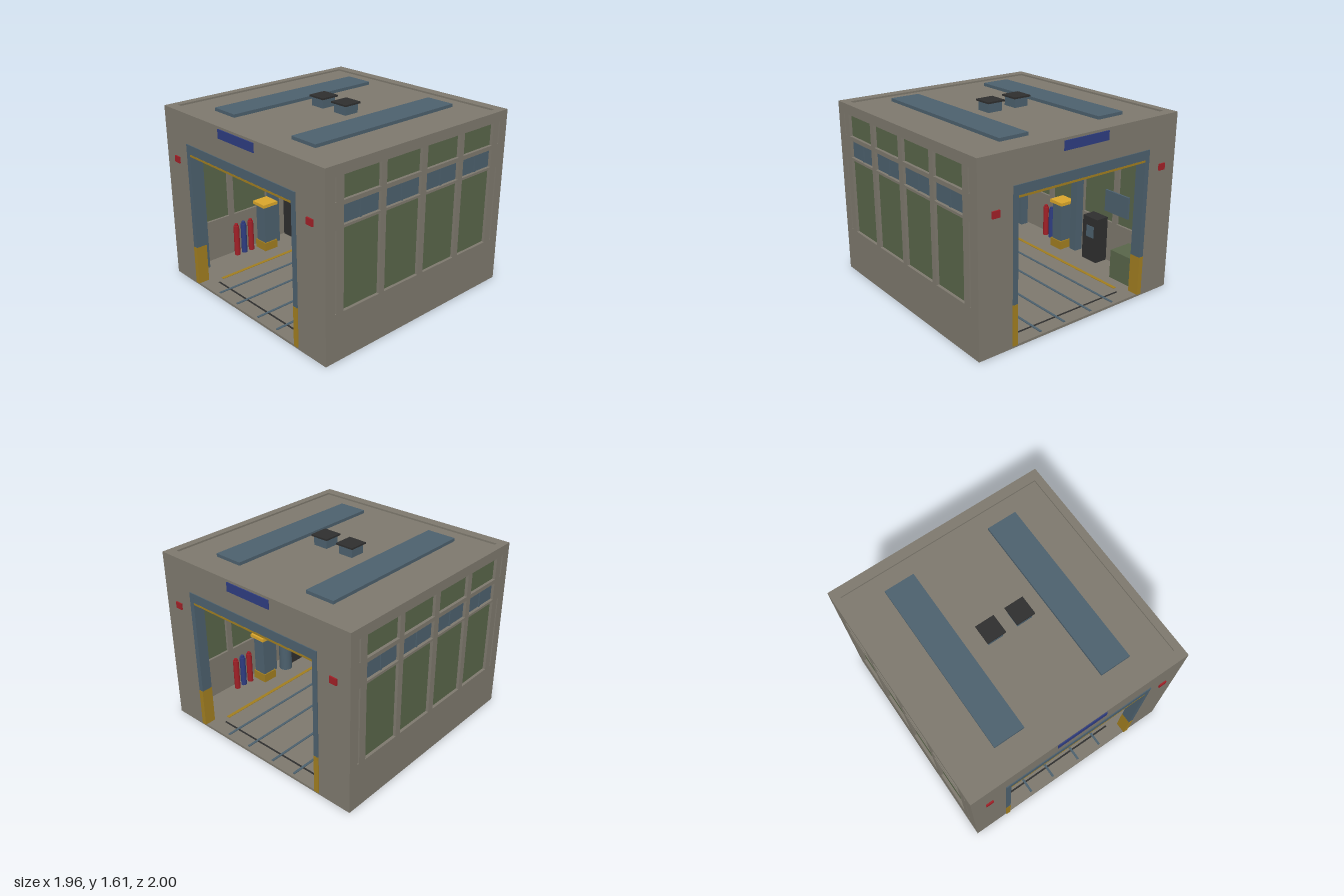
import * as THREE from 'three';

const mat = (name, color) => Object.assign(new THREE.MeshStandardMaterial({ color }), { name });

export function createModel() {
  const M = {
    concrete: mat('concrete', 0x7d786d),
    green: mat('green panel', 0x586549),
    steel: mat('blue steel', 0x4c606d),
    yellow: mat('warning yellow', 0xa07d20),
    bright: mat('machine yellow', 0xd9a52b),
    red: mat('red', 0xa02027),
    navy: mat('navy', 0x2e3c80),
    black: mat('black', 0x2e2e2e),
  };
  const model = new THREE.Group();
  model.name = 'workshopBay';

  const add = (name, geo, m, x, y, z, parent = model) => {
    const mesh = new THREE.Mesh(geo, m);
    mesh.name = name;
    mesh.position.set(x, y, z);
    parent.add(mesh);
    return mesh;
  };
  // box from minimum and maximum corners
  const box = (name, m, x0, x1, y0, y1, z0, z1, parent) =>
    add(name, new THREE.BoxGeometry(x1 - x0, y1 - y0, z1 - z0), m,
      (x0 + x1) / 2, (y0 + y1) / 2, (z0 + z1) / 2, parent);
  const cyl = (name, m, r, h, x, y, z, parent) =>
    add(name, new THREE.CylinderGeometry(r, r, h, 20), m, x, y, z, parent);
  const rect = (P, a0, a1, b0, b1) => {
    const p = new P();
    p.moveTo(a0, b0); p.lineTo(a1, b0); p.lineTo(a1, b1); p.lineTo(a0, b1); p.closePath();
    return p;
  };
  const extrude = (shape, depth) => new THREE.ExtrudeGeometry(shape, { depth, bevelEnabled: false });

  const X = 0.982, Z = 0.988, TOP = 1.535;

  // Floor slab, roof slab and parapet
  box('floorSlab', M.concrete, -X, X, 0, 0.02, -Z, Z);
  box('roofSlab', M.concrete, -0.92, 0.92, 1.47, 1.52, -0.91, 0.91);
  const rim = rect(THREE.Shape, -X, X, -Z, Z);
  rim.holes.push(rect(THREE.Path, -0.915, 0.915, -0.9, 0.9));
  add('parapet', extrude(rim, 0.065), M.concrete, 0, TOP, 0).rotation.x = Math.PI / 2;

  // Side walls with window openings, the panels set in the middle of the wall
  const columns = [[-0.815, -0.455], [-0.4, -0.03], [0.03, 0.4], [0.455, 0.815]];
  const rows = [[0.4, 1.06], [1.08, 1.23], [1.265, 1.45]];
  const wall = rect(THREE.Shape, -Z, Z, 0.02, 1.47);
  rows.forEach(([y0, y1], i) => {
    for (const [a, b] of columns) wall.holes.push(rect(THREE.Path, a, b, y0, y1));
    if (i !== 1) for (const c of [-0.892, 0.892])
      wall.holes.push(rect(THREE.Path, c - 0.008, c + 0.008, y0, y1));
  });
  const wallGeo = extrude(wall, 0.062);
  for (const s of [1, -1]) {
    const side = new THREE.Group();
    side.name = s > 0 ? 'leftWall' : 'rightWall';
    side.rotation.y = s * Math.PI / 2;
    model.add(side);
    add('wallFrame', wallGeo, M.concrete, 0, 0, X - 0.062, side);
    rows.forEach(([y0, y1], i) => box(i === 1 ? 'glazing' : 'infillPanel', i === 1 ? M.steel : M.green,
      -0.905, 0.905, y0 - 0.005, y1 + 0.005, 0.943, 0.957, side));
    for (const [a, b] of columns) {
      const c = (a + b) / 2;
      box('mullion', M.steel, c - 0.008, c + 0.008, 1.08, 1.23, 0.938, 0.965, side);
    }
  }

  // Identical gable ends with a wide doorway
  const gable = new THREE.Shape();
  [[-0.92, 0.02], [-0.675, 0.02], [-0.675, 1.278], [0.675, 1.278], [0.675, 0.02],
    [0.92, 0.02], [0.92, 1.47], [-0.92, 1.47]].forEach(([x, y], i) => i ? gable.lineTo(x, y) : gable.moveTo(x, y));
  const gableGeo = extrude(gable, 0.068);
  for (const s of [1, -1]) {
    const end = new THREE.Group();
    end.name = s > 0 ? 'frontEnd' : 'backEnd';
    end.rotation.y = s > 0 ? 0 : Math.PI;
    model.add(end);
    add('gableWall', gableGeo, M.concrete, 0, 0, 0.92, end);
    box('doorHeader', M.steel, -0.635, 0.635, 1.2, 1.278, 0.9, 0.995, end);
    box('headerStripe', M.yellow, -0.635, 0.635, 1.182, 1.2, 0.9, 0.996, end);
    box('signBoard', M.navy, -0.22, 0.22, 1.44, 1.515, Z, 0.996, end);
    for (const t of [1, -1]) {
      const x0 = t > 0 ? 0.635 : -0.678;
      box('doorPost', M.steel, x0, x0 + 0.043, 0.36, 1.278, 0.9, 0.996, end);
      box('postGuard', M.yellow, x0, x0 + 0.043, 0.02, 0.36, 0.898, 0.998, end);
      box('warningLamp', M.red, t * 0.83 - 0.033, t * 0.83 + 0.033, 1.08, 1.135, 0.98, 1, end);
    }
    box('floorDrain', M.black, -0.54, 0.54, 0.02, 0.023, 0.85, 0.865, end);
  }

  // Roof skylights and ventilators
  for (const s of [1, -1]) {
    box('skylight', M.steel, s * 0.481 - 0.131, s * 0.481 + 0.131, 1.515, 1.547, -0.745, 0.745);
    box('ventDuct', M.steel, s * 0.133 - 0.067, s * 0.133 + 0.067, 1.515, 1.597, -0.067, 0.067);
    box('ventCap', M.black, s * 0.133 - 0.083, s * 0.133 + 0.083, 1.597, 1.611, -0.083, 0.083);
  }

  // Overhead crane: columns, runways, twin bridge beams and trolley
  for (const s of [1, -1]) {
    for (const z of [-0.8, 0, 0.8])
      box('craneColumn', M.steel, s * 0.86 - 0.04, s * 0.86 + 0.04, 0.02, 1.24, z - 0.04, z + 0.04);
    box('runwayGirder', M.steel, s * 0.81 - 0.045, s * 0.81 + 0.045, 1.22, 1.31, -0.91, 0.91);
    box('bridgeBeam', M.bright, -0.85, 0.85, 1.32, 1.4, s * 0.1 - 0.035, s * 0.1 + 0.035);
    box('endTruck', M.bright, s * 0.81 - 0.04, s * 0.81 + 0.04, 1.31, 1.36, -0.18, 0.18);
  }
  box('hoistTrolley', M.bright, -0.38, -0.24, 1.28, 1.43, -0.09, 0.09);

  // Ceiling light rails
  for (const z of [-0.5, 0.5]) {
    box('lightRail', M.steel, -0.8, 0.8, 1.43, 1.47, z - 0.03, z + 0.03);
    box('lightHousing', M.steel, -0.06, 0.06, 1.39, 1.44, z - 0.045, z + 0.045);
  }

  // Floor markings and rails
  for (const s of [1, -1]) {
    box('laneStripe', M.yellow, s * 0.575 - 0.015, s * 0.575 + 0.015, 0.02, 0.024, -0.8, 0.8);
    for (const x of [0.14, 0.38])
      box('floorRail', M.steel, s * x - 0.01, s * x + 0.01, 0.02, 0.026, -0.96, 0.96);
  }

  // Equipment along each wall, turned half way round for the other side
  for (const s of [1, -1]) {
    const bay = new THREE.Group();
    bay.name = s > 0 ? 'rightEquipment' : 'leftEquipment';
    bay.rotation.y = s > 0 ? 0 : Math.PI;
    model.add(bay);
    [M.red, M.navy, M.red].forEach((m, i) => {
      const z = 0.43 - i * 0.08;
      cyl('gasBottle', m, 0.026, 0.29, -0.86, 0.165, z, bay);
      cyl('bottleCap', m, 0.015, 0.02, -0.86, 0.32, z, bay);
    });
    box('pedestalFoot', M.yellow, -0.872, -0.728, 0.02, 0.1, 0.065, 0.205, bay);
    box('pedestal', M.steel, -0.86, -0.74, 0.1, 0.46, 0.075, 0.195, bay);
    box('pedestalCap', M.bright, -0.88, -0.72, 0.46, 0.49, 0.055, 0.215, bay);
    box('controlCabinet', M.black, -0.915, -0.785, 0.02, 0.44, -0.35, -0.17, bay);
    box('cabinetScreen', M.steel, -0.785, -0.78, 0.25, 0.36, -0.31, -0.22, bay);
    box('wallBoard', M.steel, -0.918, -0.9, 0.5, 0.7, -0.6, -0.32, bay);
  }
  box('storageChest', M.green, -0.915, -0.69, 0.02, 0.28, -0.9, -0.62);
  box('toolStand', M.steel, 0.76, 0.84, 0.02, 0.1, 0.64, 0.72);
  box('toolBox', M.bright, 0.765, 0.835, 0.1, 0.27, 0.645, 0.715);

  // Wall-side robot arm
  const robot = new THREE.Group();
  robot.name = 'robotArm';
  robot.position.set(0, 0, 0.12);
  model.add(robot);
  cyl('robotBase', M.steel, 0.06, 0.56, 0.78, 0.3, 0, robot);
  box('upperArm', M.yellow, 0.74, 0.82, 0.58, 0.975, -0.035, 0.035, robot);
  box('foreArm', M.yellow, 0.43, 0.8, 0.918, 0.975, -0.028, 0.028, robot);
  box('wrist', M.yellow, 0.403, 0.467, 0.83, 0.945, -0.032, 0.032, robot);
  for (const x of [0.435, 0.78])
    cyl('armJoint', M.steel, 0.03, 0.09, x, 0.947, 0, robot).rotation.x = Math.PI / 2;
  cyl('torch', M.steel, 0.009, 0.1, 0.435, 0.785, 0, robot);
  cyl('torchTip', M.black, 0.014, 0.02, 0.435, 0.728, 0, robot);

  // Small carriage on the middle of the floor
  const cart = new THREE.Group();
  cart.name = 'floorCarriage';
  model.add(cart);
  box('carriageBody', M.bright, -0.062, 0.062, 0.085, 0.14, -0.06, 0.06, cart);
  box('carriageTrim', M.yellow, -0.062, 0.062, 0.072, 0.085, -0.06, 0.06, cart);
  cyl('carriageMotor', M.steel, 0.025, 0.16, 0, 0.112, 0, cart).rotation.x = Math.PI / 2;
  box('carriageLeg', M.steel, -0.01, 0.01, 0.02, 0.08, -0.02, 0.02, cart);
  for (const s of [1, -1]) cyl('carriageRod', M.black, 0.004, 0.2, s * 0.022, 0.12, 0, cart);

  return model;
}
